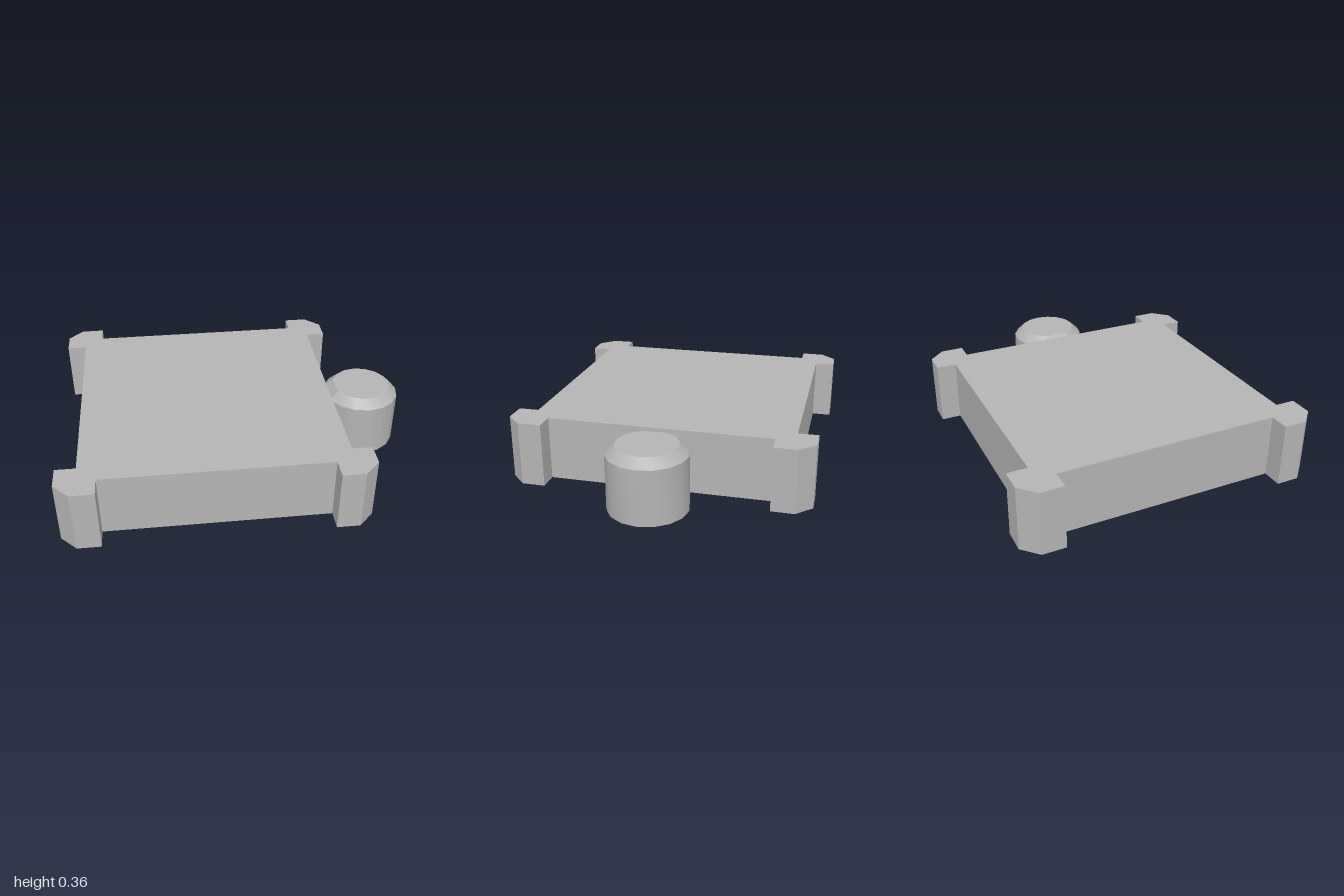
import * as THREE from 'three';
import { mergeGeometries, toCreasedNormals } from 'three/addons/utils/BufferGeometryUtils.js';

const HEIGHT = 0.36;
const CENTRE_X = -0.158;

export function createModel() {
  const model = new THREE.Group();
  const grey = new THREE.MeshStandardMaterial({ color: 0xb4b4b4 });
  grey.name = 'grey';

  const add = (name, geometry, x) => {
    const mesh = new THREE.Mesh(geometry, grey);
    mesh.name = name;
    mesh.position.x = x;
    model.add(mesh);
  };

  // Square slab with a chamfered post at each corner: one corner, turned four times
  const wall = 0.73, inner = 0.626, outer = 0.842, chamfer = 0.756;
  const corner = [
    [wall, inner], [outer, inner], [outer, chamfer],
    [chamfer, outer], [inner, outer], [inner, wall],
  ];
  const outline = [];
  for (let i = 0; i < 4; i++) {
    for (const [x, y] of corner) {
      outline.push(new THREE.Vector2(x, y).rotateAround(new THREE.Vector2(), i * Math.PI / 2));
    }
  }
  const slab = new THREE.ExtrudeGeometry(new THREE.Shape(outline), { depth: HEIGHT, bevelEnabled: false });
  slab.rotateX(-Math.PI / 2);
  add('slabWithCornerPosts', slab, CENTRE_X);

  // Round knob with a bevelled top, flattened where it meets the slab
  const profile = [[0, 0], [0.22, 0], [0.22, 0.31], [0.169, HEIGHT], [0, HEIGHT]]
    .map(([r, y]) => new THREE.Vector2(r, y));
  const step = Math.PI / 8;
  const arc = (start, length, segments) =>
    toCreasedNormals(new THREE.LatheGeometry(profile, segments, start, length), 0.5);
  const round = arc(-Math.PI / 2 + step, 14 * step, 14);
  const flat = arc(-Math.PI / 2 - step, 2 * step, 1);
  add('sideKnob', mergeGeometries([round, flat]), 0.78);

  return model;
}
